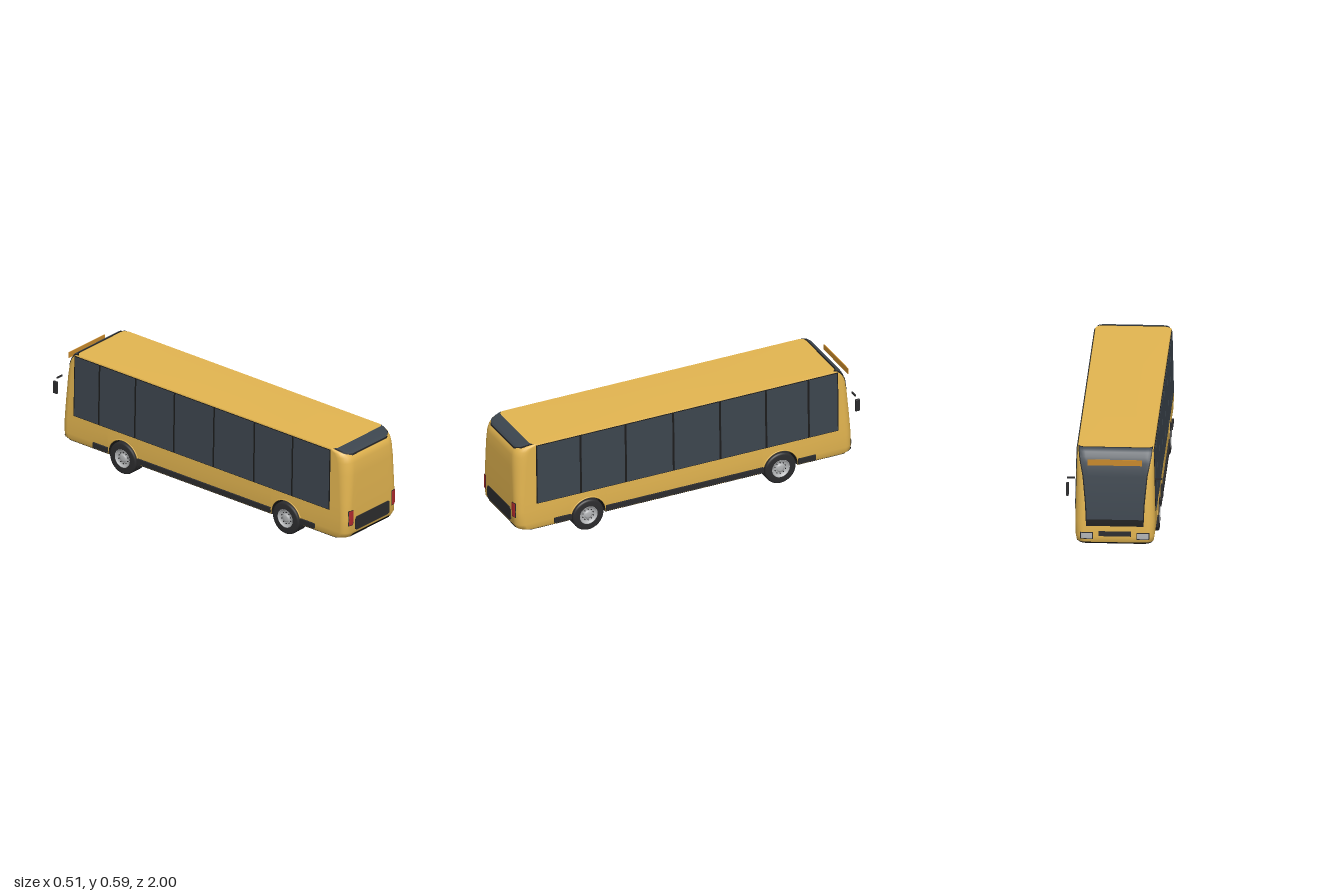
import * as THREE from 'three';

const mat = (color, side = THREE.FrontSide) => new THREE.MeshStandardMaterial({ color, side });
const D = THREE.DoubleSide;
const yellow = mat(0xe3b550, D), black = mat(0x1c1c1c, D), trim = mat(0x2c2c2e, D);
const glass = mat(0x3c454e, D), red = mat(0xb02a2e, D), amber = mat(0xc98a2c), grey = mat(0xb4b6b8, D);

const ARCHES = [0.575, -0.555], AXLE_Y = 0.09, ARCH_R = 0.105;

// body profile: y, rear z, front z, half width, rear corner radius, front corner radius
const PROFILE = [
  [0.078, 0.945, -0.97, 0.197, 0.05, 0.05],
  [0.09, 0.975, -0.983, 0.204, 0.045, 0.045],
  [0.12, 0.992, -0.985, 0.209, 0.045, 0.045],
  [0.2, 0.996, -0.982, 0.211, 0.045, 0.045],
  [0.3, 0.996, -0.975, 0.2085, 0.05, 0.045],
  [0.45, 0.996, -0.96, 0.205, 0.06, 0.04],
  [0.52, 0.992, -0.947, 0.2033, 0.065, 0.035],
  [0.55, 0.983, -0.934, 0.2026, 0.065, 0.035],
  [0.57, 0.965, -0.92, 0.2022, 0.06, 0.035],
  [0.582, 0.933, -0.905, 0.2018, 0.05, 0.03],
  [0.588, 0.903, -0.887, 0.199, 0.03, 0.03],
];

function lerpRows(rows, y) {
  let i = 0;
  while (i < rows.length - 2 && y > rows[i + 1][0]) i++;
  const a = rows[i], b = rows[i + 1];
  const t = THREE.MathUtils.clamp((y - a[0]) / (b[0] - a[0]), 0, 1);
  return a.map((v, k) => v + (b[k] - v) * t);
}

function endZ(x, y, s) {
  const [, zr, zf, w, rr, rf] = lerpRows(PROFILE, y);
  const r = s > 0 ? rr : rf, d = Math.max(0, Math.abs(x) - (w - r));
  return s * ((s > 0 ? zr : -zf) - r + Math.sqrt(Math.max(0, r * r - d * d)));
}

const inArch = z => ARCHES.some(c => Math.abs(z - c) < ARCH_R);
function archY(z, y) {
  const c = ARCHES.find(c => Math.abs(z - c) < ARCH_R);
  return c === undefined ? y : Math.max(y, AXLE_Y + Math.sqrt(ARCH_R ** 2 - (z - c) ** 2));
}

// side stations, dense around the wheel arches
const SIDE_Z = [0.83];
for (const c of ARCHES) {
  SIDE_Z.push(c + ARCH_R + 0.001);
  for (let k = 0; k <= 16; k++) SIDE_Z.push(c + ARCH_R * 0.9999 * Math.cos(k * Math.PI / 16));
  SIDE_Z.push(c - ARCH_R - 0.001);
}
SIDE_Z.push(-0.82);

// plan outline of the body at height y, clockwise from the rear centre
function ring(y, arched = true) {
  const [, zr, zf, w, rr, rf] = lerpRows(PROFILE, y), half = [];
  for (const f of [0, 0.4, 0.8]) half.push([f * (w - rr), y, zr]);
  for (let k = 0; k <= 8; k++) {
    const a = k * Math.PI / 16;
    half.push([w - rr + rr * Math.sin(a), y, zr - rr + rr * Math.cos(a)]);
  }
  for (const z of SIDE_Z) {
    const yy = arched ? archY(z, y) : y;
    half.push([lerpRows(PROFILE, yy)[3], yy, z]);
  }
  for (let k = 0; k <= 8; k++) {
    const a = k * Math.PI / 16;
    half.push([w - rf + rf * Math.cos(a), y, zf + rf - rf * Math.sin(a)]);
  }
  for (const f of [0.8, 0.4, 0]) half.push([f * (w - rf), y, zf]);
  return half.concat(half.slice(1, -1).reverse().map(([x, yy, z]) => [-x, yy, z]));
}

function surface(points, index) {
  const g = new THREE.BufferGeometry();
  g.setAttribute('position', new THREE.Float32BufferAttribute(points.flat(), 3));
  g.setIndex(index);
  g.computeVertexNormals();
  return g;
}

function bodyShell() {
  const rings = PROFILE.map(p => ring(p[0])), n = rings[0].length, idx = [];
  for (let j = 0; j < rings.length - 1; j++) for (let i = 0; i < n; i++) {
    const a = j * n + i, b = j * n + (i + 1) % n;
    idx.push(a, b, b + n, a, b + n, a + n);
  }
  return surface(rings.flat(), idx);
}

function roofCap() {
  const top = ring(0.588), idx = [], n = top.length;
  for (let i = 0; i < n; i++) idx.push(n, i, (i + 1) % n);
  return surface([...top, [0, 0.59, 0]], idx);
}

// panel hugging the front (s = -1) or rear (s = 1); rows are [y, x left, x right]
function endPatch(rows, s, off) {
  const y0 = rows[0][0], y1 = rows[rows.length - 1][0], pts = [], idx = [], n = 24;
  const ys = [...new Set([...rows, ...PROFILE].map(r => r[0]))].filter(y => y >= y0 && y <= y1).sort((a, b) => a - b);
  ys.forEach((y, j) => {
    const [, xa, xb] = lerpRows(rows, y);
    for (let i = 0; i <= n; i++) {
      const x = xa + (xb - xa) * i / n;
      pts.push([x, y + (y > 0.55 ? off : 0), endZ(x, y, s) + s * off]);
      if (i < n && j < ys.length - 1) {
        const a = j * (n + 1) + i, b = a + 1, c = b + n + 1, d = a + n + 1;
        idx.push(...(s > 0 ? [a, b, c, a, c, d] : [a, c, b, a, d, c]));
      }
    }
  });
  return surface(pts, idx);
}
const sym = rows => rows.map(([y, w]) => [y, -w, w]);

function roundedPanel(w, h, r, depth) {
  const s = new THREE.Shape(), x = w / 2, y = h / 2;
  s.absarc(x - r, y - r, r, 0, Math.PI / 2);
  s.absarc(-x + r, y - r, r, Math.PI / 2, Math.PI);
  s.absarc(-x + r, -y + r, r, Math.PI, Math.PI * 1.5);
  s.absarc(x - r, -y + r, r, Math.PI * 1.5, Math.PI * 2);
  return new THREE.ExtrudeGeometry(s, { depth, bevelEnabled: false, curveSegments: 8 });
}

function add(parent, name, geo, material, x = 0, y = 0, z = 0) {
  const m = new THREE.Mesh(geo, material);
  m.name = name;
  m.position.set(x, y, z);
  parent.add(m);
  return m;
}
const box = (w, h, d) => new THREE.BoxGeometry(w, h, d);

// wheel with its axis along x, outer face towards +x
function wheel() {
  const g = new THREE.Group();
  g.name = 'wheel';
  const lathe = pts => new THREE.LatheGeometry(pts.map(p => new THREE.Vector2(...p)), 40).rotateZ(-Math.PI / 2);
  add(g, 'tyre', lathe([[0.05, -0.043], [0.08, -0.043], [0.088, -0.039], [0.09, -0.034], [0.09, -0.018], [0.085, -0.017],
    [0.085, -0.013], [0.09, -0.012], [0.09, -0.002], [0.085, -0.001], [0.085, 0.003], [0.09, 0.004], [0.09, 0.014], [0.085, 0.015],
    [0.085, 0.019], [0.09, 0.02], [0.09, 0.034], [0.088, 0.039], [0.08, 0.043], [0.05, 0.043]]), trim);
  add(g, 'rim', lathe([[0.052, 0.043], [0.047, 0.044], [0.044, 0.034], [0.025, 0.03], [0.022, 0.038], [0.014, 0.041], [0, 0.041]]), grey);
  add(g, 'innerDisc', new THREE.CylinderGeometry(0.052, 0.052, 0.004, 32).rotateZ(Math.PI / 2), black, -0.04);
  for (let k = 0; k < 10; k++) {
    const a = k * Math.PI / 5;
    add(g, 'wheelNut', new THREE.CylinderGeometry(0.003, 0.003, 0.006, 6).rotateZ(Math.PI / 2), trim, 0.034, 0.032 * Math.cos(a), 0.032 * Math.sin(a));
  }
  return g;
}

// everything that repeats on both sides
function sideParts() {
  const g = new THREE.Group();
  const tilt = Math.atan(0.0235), midX = 0.2062;
  add(g, 'windowFrame', box(0.004, 0.347, 1.775), black, midX + 0.001, 0.408, -0.008).rotation.z = tilt;
  const edges = [0.88, 0.62, 0.355, 0.075, -0.2, -0.47, -0.72, -0.895];
  for (let i = 0; i < edges.length - 1; i++) {
    const len = edges[i] - edges[i + 1] - 0.012;
    add(g, 'sideWindow', box(0.004, 0.34, len), glass, midX + 0.003, 0.408, (edges[i] + edges[i + 1]) / 2).rotation.z = tilt;
  }
  for (const c of ARCHES) {
    const w = wheel();
    w.position.set(0.172, AXLE_Y, c);
    g.add(w);
    add(g, 'archLip', new THREE.TorusGeometry(ARCH_R, 0.004, 8, 32, Math.PI).rotateY(Math.PI / 2), yellow, 0.209, AXLE_Y, c);
    add(g, 'wheelWell', new THREE.CylinderGeometry(ARCH_R, ARCH_R, 0.095, 32, 1, true, 0, Math.PI)
      .rotateX(-Math.PI / 2).rotateZ(Math.PI / 2).rotateY(Math.PI / 2), black, 0.162, AXLE_Y, c);
    add(g, 'wellWall', box(0.004, 0.12, 0.21), black, 0.115, 0.138, c);
  }
  for (const [a, b] of [[0.775, 0.677], [0.473, -0.453], [-0.657, -0.76]])
    add(g, 'sideRail', box(0.012, 0.029, a - b), trim, 0.213, 0.1075, (a + b) / 2);
  add(g, 'mirrorArm', box(0.042, 0.009, 0.006), trim, 0.232, 0.446, -0.975);
  add(g, 'mirror', roundedPanel(0.014, 0.07, 0.004, 0.024), trim, 0.25, 0.386, -1);
  add(g, 'tailLightFrame', endPatch([[0.162, 0.155, 0.189], [0.251, 0.155, 0.189]], 1, 0.002), trim);
  add(g, 'tailLight', endPatch([[0.166, 0.158, 0.186], [0.248, 0.158, 0.186]], 1, 0.004), red);
  add(g, 'headlightFrame', endPatch([[0.105, 0.115, 0.183], [0.143, 0.115, 0.183]], -1, 0.002), trim);
  add(g, 'headlight', endPatch([[0.109, 0.119, 0.179], [0.139, 0.119, 0.179]], -1, 0.004), grey);
  return g;
}

export function createModel() {
  const bus = new THREE.Group();
  bus.name = 'bus';
  add(bus, 'bodyShell', bodyShell(), yellow);
  add(bus, 'roof', roofCap(), yellow);

  // floor plate notched around the wheels
  const plan = ring(0.078, false).map(([x, , z]) => new THREE.Vector2(inArch(z) ? Math.sign(x) * 0.115 : x, z));
  add(bus, 'floor', new THREE.ExtrudeGeometry(new THREE.Shape(plan), { depth: 0.006, bevelEnabled: false }).rotateX(Math.PI / 2), black, 0, 0.082, 0);

  // rear end
  add(bus, 'rearWindowFrame', endPatch(sym([[0.556, 0.14], [0.57, 0.18], [0.588, 0.195]]), 1, 0.002), black);
  add(bus, 'rearWindow', endPatch(sym([[0.562, 0.135], [0.572, 0.17], [0.588, 0.19]]), 1, 0.004), glass);
  add(bus, 'rearGrille', roundedPanel(0.276, 0.077, 0.015, 0.01), trim, 0, 0.1635, 0.989);
  add(bus, 'rearBumper', endPatch(sym([[0.078, 0.17], [0.106, 0.145]]), 1, 0.003), black);

  // front end
  add(bus, 'windscreenFrame', endPatch(sym([[0.178, 0.152], [0.3, 0.158], [0.45, 0.172], [0.55, 0.192], [0.588, 0.197]]), -1, 0.002), black);
  add(bus, 'windscreen', endPatch(sym([[0.215, 0.148], [0.3, 0.152], [0.45, 0.166], [0.55, 0.186], [0.586, 0.192]]), -1, 0.004), glass);
  add(bus, 'destinationSign', box(0.29, 0.032, 0.004), amber, 0, 0.537, -0.985);
  add(bus, 'frontGrille', endPatch(sym([[0.122, 0.085], [0.15, 0.085]]), -1, 0.003), trim);
  add(bus, 'frontLip', endPatch(sym([[0.08, 0.198], [0.09, 0.2]]), -1, 0.006), black);

  const left = sideParts(), right = sideParts();
  left.name = 'leftSide';
  right.name = 'rightSide';
  right.scale.x = -1;
  bus.add(left, right);
  return bus;
}
